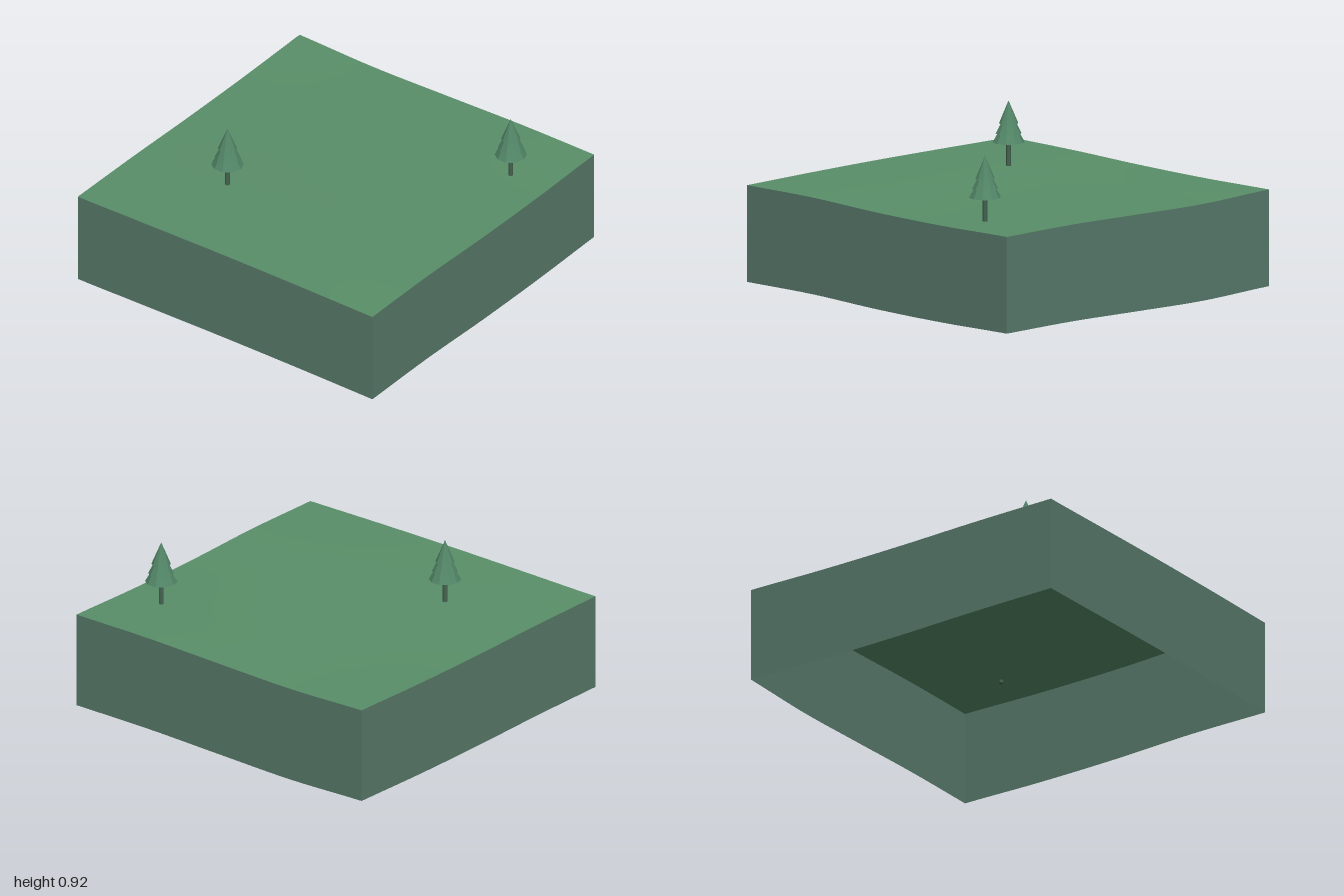
import * as THREE from 'three';

const terrainMat = new THREE.MeshStandardMaterial({ color: 0x5a8f69, side: THREE.DoubleSide });
terrainMat.name = 'grassGreen';
const skirtMat = new THREE.MeshStandardMaterial({ color: 0x58796a, side: THREE.DoubleSide });
skirtMat.name = 'greyGreen';
const foliageMat = new THREE.MeshStandardMaterial({ color: 0x528566, flatShading: true });
foliageMat.name = 'foliageGreen';
const trunkMat = new THREE.MeshStandardMaterial({ color: 0x456350, flatShading: true });
trunkMat.name = 'trunkGreen';

const DEPTH = 0.535; // height of the side walls
const SEGMENTS = 24;

// Gentle relief: rows run from back (z = -1) to front (z = 1), columns from x = -1 to x = 1
const RELIEF = [
  [0.018, 0.016, 0.007, 0.005, 0.012],
  [0.026, 0.024, 0.012, 0.005, 0.002],
  [0.033, 0.030, 0.019, 0.013, 0.014],
  [0.035, 0.035, 0.024, 0.020, 0.028],
  [0.033, 0.036, 0.023, 0.021, 0.030],
];

// Smooth interpolation through evenly spaced values, t in 0..1
function smooth(values, t) {
  const last = values.length - 1;
  const f = t * last;
  const i = Math.min(Math.floor(f), last - 1);
  const u = f - i;
  const at = (k) => values[Math.max(0, Math.min(last, k))];
  const [a, b, c, d] = [at(i - 1), at(i), at(i + 1), at(i + 2)];
  return b + 0.5 * u * (c - a + u * (2 * a - 5 * b + 4 * c - d + u * (3 * (b - c) + d - a)));
}

function relief(x, z) {
  return smooth(RELIEF.map((row) => smooth(row, (x + 1) / 2)), (z + 1) / 2);
}

// Rolling ground sheet
function makeTerrain() {
  const geometry = new THREE.PlaneGeometry(2, 2, SEGMENTS, SEGMENTS).rotateX(-Math.PI / 2);
  const p = geometry.attributes.position;
  for (let i = 0; i < p.count; i++) p.setY(i, DEPTH + relief(p.getX(i), p.getZ(i)));
  geometry.computeVertexNormals();
  const mesh = new THREE.Mesh(geometry, terrainMat);
  mesh.name = 'terrain';
  return mesh;
}

// One side wall following the relief along both its upper and lower edge
function makeWall(name, angle) {
  const geometry = new THREE.PlaneGeometry(2, DEPTH, SEGMENTS, 1)
    .translate(0, DEPTH / 2, 1)
    .rotateY(angle);
  const p = geometry.attributes.position;
  for (let i = 0; i < p.count; i++) p.setY(i, p.getY(i) + relief(p.getX(i), p.getZ(i)));
  const mesh = new THREE.Mesh(geometry, skirtMat);
  mesh.name = name;
  return mesh;
}

// Conifer with three stacked cones on a thin trunk
function makeTree(name, x, z) {
  const tree = new THREE.Group();
  tree.name = name;
  const trunk = new THREE.Mesh(new THREE.CylinderGeometry(0.013, 0.013, 0.16, 8), trunkMat);
  trunk.name = 'trunk';
  trunk.position.y = 0.62;
  tree.add(trunk);
  const tiers = [
    [0.088, 0.69, 0.155],
    [0.071, 0.737, 0.143],
    [0.053, 0.794, 0.126],
  ];
  tiers.forEach(([radius, base, height], i) => {
    const cone = new THREE.Mesh(new THREE.ConeGeometry(radius, height, 10), foliageMat);
    cone.name = `foliageTier${i + 1}`;
    cone.position.y = base + height / 2;
    tree.add(cone);
  });
  tree.position.set(x, 0, z);
  return tree;
}

export function createModel() {
  const model = new THREE.Group();
  model.name = 'terrainTile';
  model.add(makeTerrain());
  ['frontWall', 'leftWall', 'backWall', 'rightWall'].forEach((name, i) => {
    model.add(makeWall(name, (i * Math.PI) / 2));
  });
  model.add(makeTree('backTree', -0.42, -0.42));
  model.add(makeTree('frontTree', 0.58, 0.75));
  return model;
}
